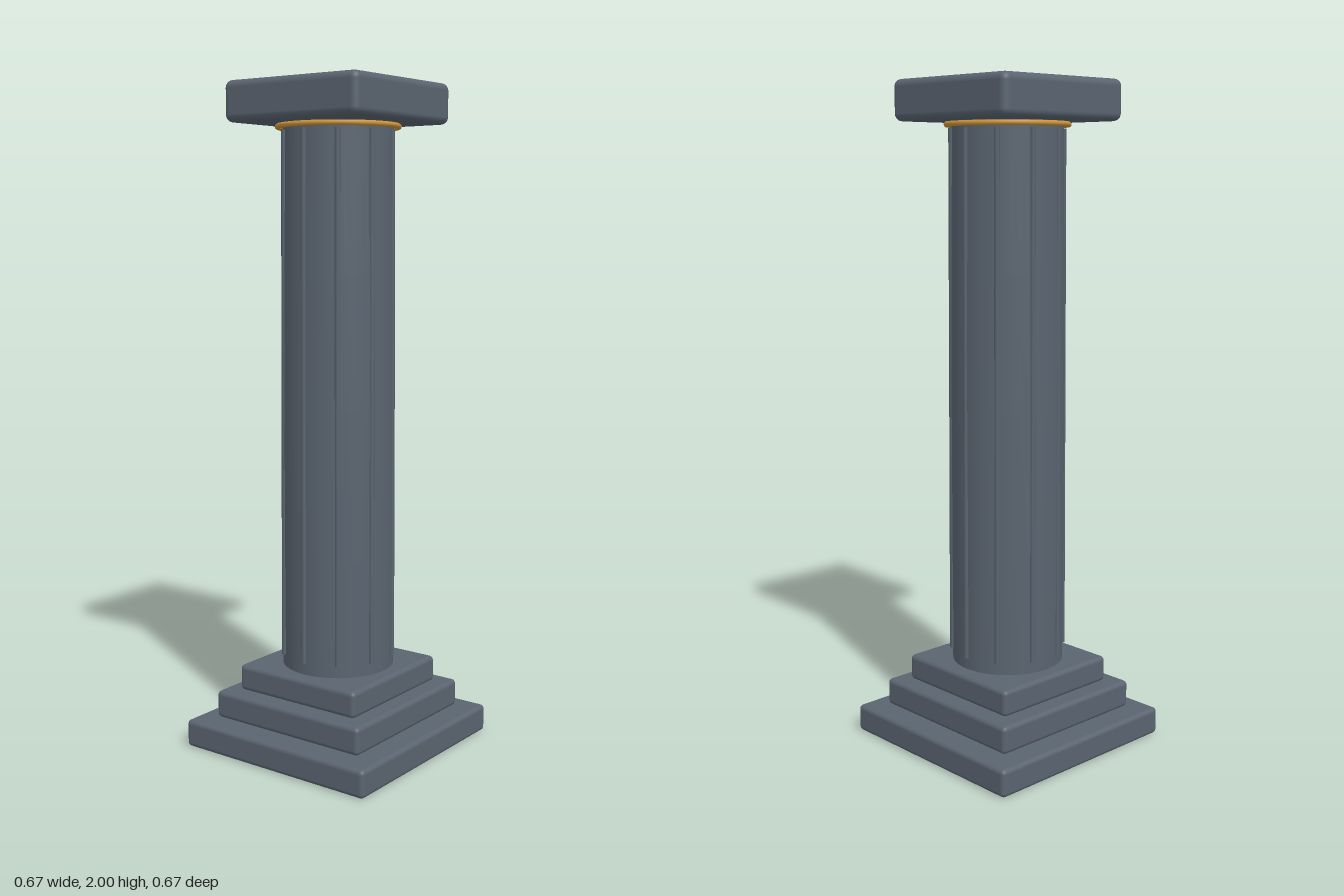
import * as THREE from 'three';
import { RoundedBoxGeometry } from 'three/addons/geometries/RoundedBoxGeometry.js';

export function createModel() {
  const group = new THREE.Group();
  const stone = new THREE.MeshStandardMaterial({ color: 0x5a6470 });
  stone.name = 'slate stone';
  const gold = new THREE.MeshStandardMaterial({ color: 0xc8923a });
  gold.name = 'gold';

  const add = (name, geometry, material, parent = group) => {
    const mesh = new THREE.Mesh(geometry, material);
    mesh.name = name;
    parent.add(mesh);
    return mesh;
  };

  // Square slabs: stepped plinth and capital
  const slab = (name, width, y0, y1, radius) => {
    const mesh = add(name, new RoundedBoxGeometry(width, y1 - y0, width, 3, radius), stone);
    mesh.position.y = (y0 + y1) / 2;
  };
  slab('lowerStep', 0.666, 0, 0.084, 0.014);
  slab('middleStep', 0.534, 0.088, 0.172, 0.014);
  slab('upperStep', 0.432, 0.172, 0.252, 0.014);
  slab('capital', 0.476, 1.88, 2, 0.022);

  // Shaft with a slight swelling toward the middle
  const profile = [[0.170, 0.245], [0.171, 0.6], [0.1705, 1.05], [0.168, 1.45], [0.163, 1.885]];
  add('shaft', new THREE.LatheGeometry(profile.map(p => new THREE.Vector2(...p)), 48), stone);

  // Ten slim ribs leaning in with the taper
  const ribs = new THREE.Group();
  ribs.name = 'ribs';
  group.add(ribs);
  for (let i = 0; i < 10; i++) {
    const a = (i / 10) * Math.PI * 2;
    const at = (r, y) => new THREE.Vector3(Math.sin(a) * r, y, Math.cos(a) * r);
    const bottom = at(0.172, 0.288), top = at(0.165, 1.86);
    const rib = add('rib', new THREE.CylinderGeometry(0.008, 0.008, bottom.distanceTo(top), 8), stone, ribs);
    rib.position.copy(bottom).lerp(top, 0.5);
    rib.quaternion.setFromUnitVectors(new THREE.Vector3(0, 1, 0), top.sub(bottom).normalize());
  }

  // Thin gold ring under the capital
  const ring = add('neckRing', new THREE.TorusGeometry(0.178, 0.008, 10, 64), gold);
  ring.rotation.x = Math.PI / 2;
  ring.position.y = 1.871;

  return group;
}
